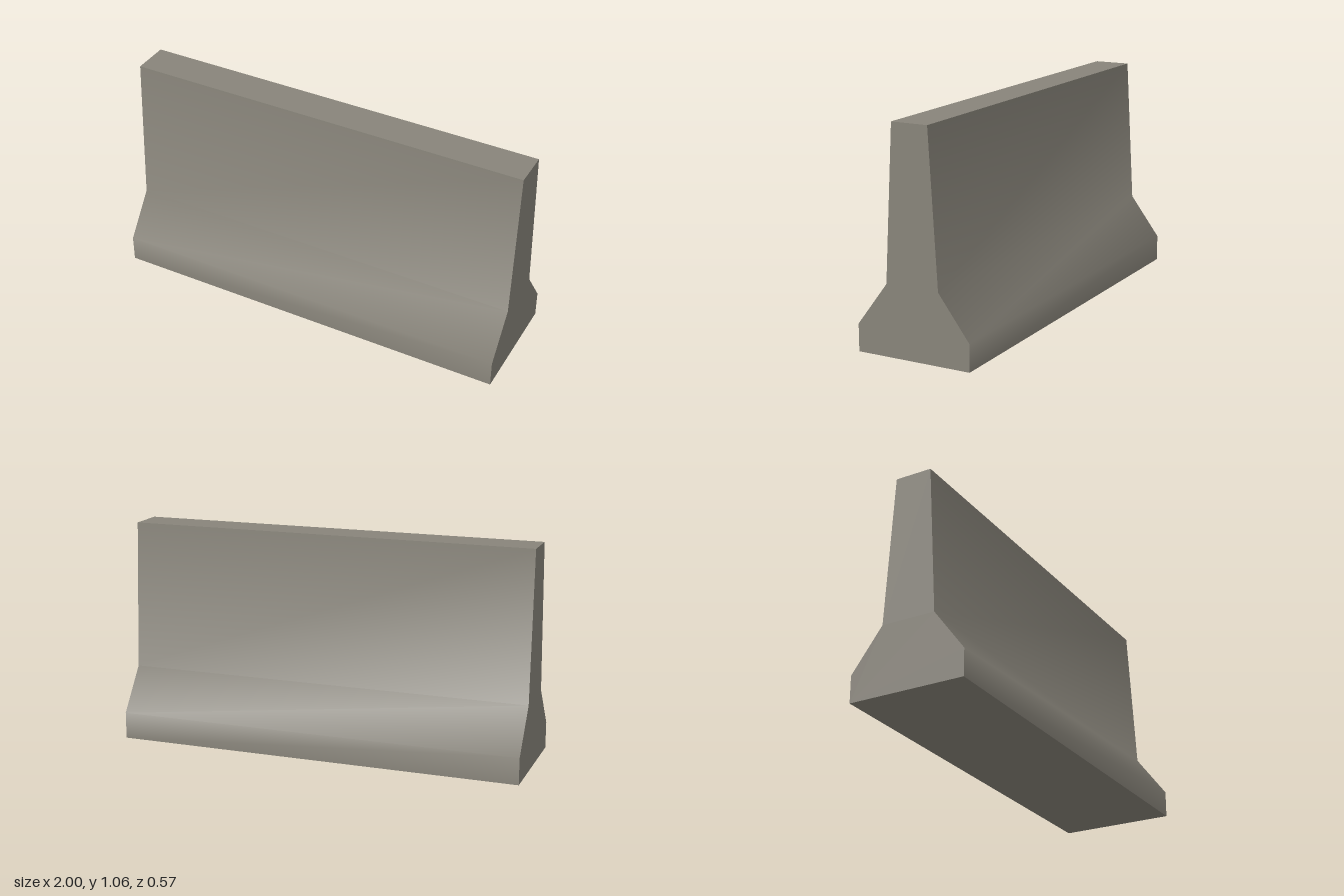
import * as THREE from 'three';
import { toCreasedNormals } from 'three/addons/utils/BufferGeometryUtils.js';

export function createModel() {
  const concrete = new THREE.MeshStandardMaterial({ color: 0x88847a });
  concrete.name = 'concrete';

  // Half profile from foot to crown: [half depth, height]
  const half = [[0.285, 0], [0.285, 0.13], [0.132, 0.335], [0.09, 1.058]];
  const mirrored = half.map(([d, h]) => [-d, h]).reverse();
  const profile = new THREE.Shape(
    [...half, ...mirrored].map(([d, h]) => new THREE.Vector2(d, h))
  );

  // Sweep the profile along the barrier's length
  const length = 2;
  const swept = new THREE.ExtrudeGeometry(profile, { depth: length, bevelEnabled: false });
  swept.translate(0, 0, -length / 2);
  swept.rotateY(Math.PI / 2);

  // Sloped sides shade smoothly; crown, underside and ends stay sharp
  const barrier = new THREE.Mesh(toCreasedNormals(swept, Math.PI / 3), concrete);
  barrier.name = 'barrierBody';

  const group = new THREE.Group();
  group.name = 'concreteBarrier';
  group.add(barrier);
  return group;
}
